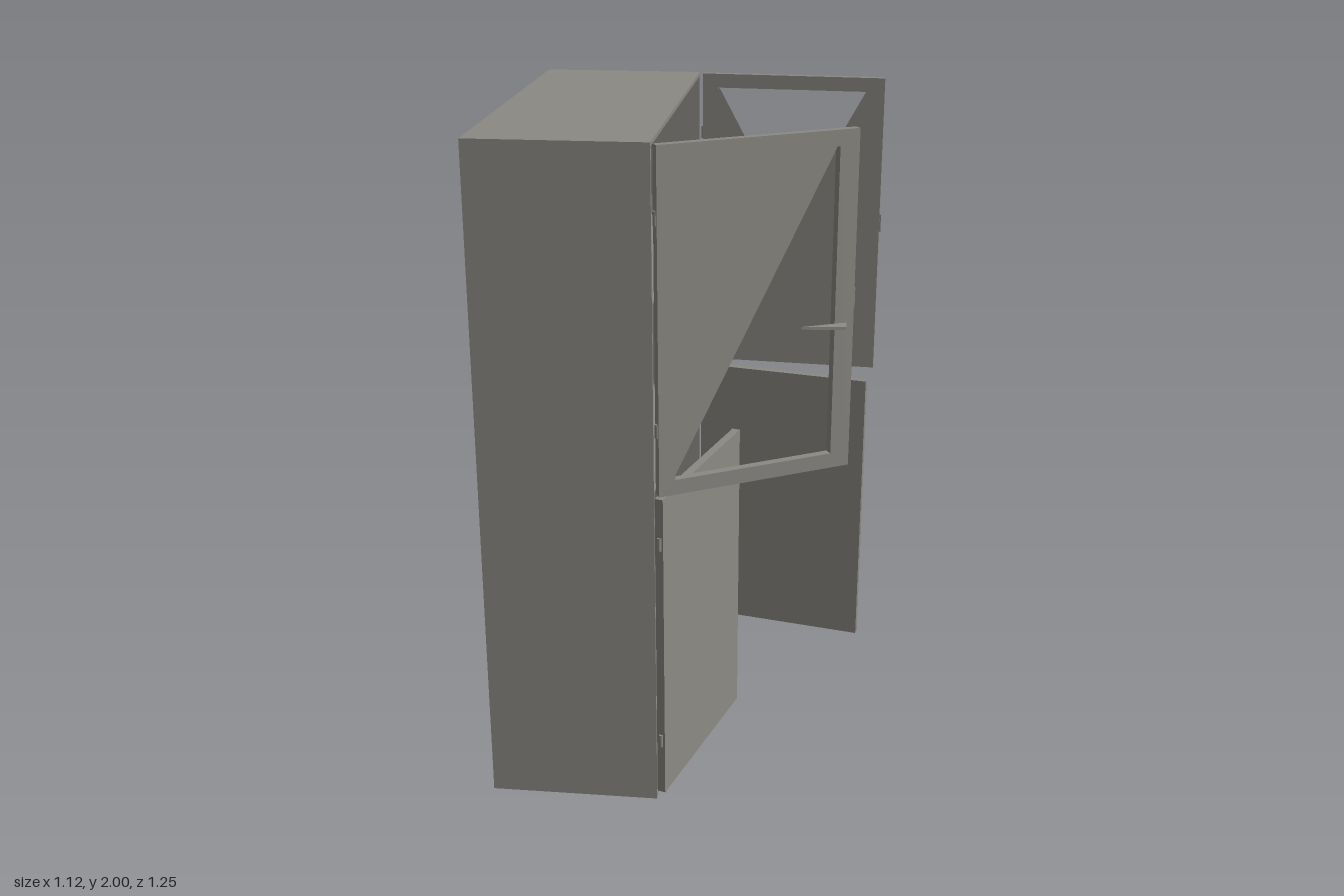
import * as THREE from 'three';

const grey = new THREE.MeshStandardMaterial({ color: 0x8c8a84, side: THREE.DoubleSide });
grey.name = 'warm grey';

function add(parent, name, geo, x = 0, y = 0, z = 0) {
  const m = new THREE.Mesh(geo, grey);
  m.name = name;
  m.position.set(x, y, z);
  parent.add(m);
  return m;
}

// Box given by its two opposite corners
function block(parent, name, [x0, y0, z0], [x1, y1, z1]) {
  return add(parent, name, new THREE.BoxGeometry(x1 - x0, y1 - y0, z1 - z0),
    (x0 + x1) / 2, (y0 + y1) / 2, (z0 + z1) / 2);
}

const outline = pts => new THREE.Shape(pts.map(p => new THREE.Vector2(...p)));

const X0 = -0.56, X1 = -0.055, Z0 = -0.59, Z1 = 0.62, W = 0.012;
const DOOR_W = 0.6, DOOR_T = 0.025;

function buildCabinet(g) {
  // Shell, open towards +x
  block(g, 'backWall', [X0, 0, Z0], [X0 + W, 2, Z1]);
  block(g, 'top', [X0, 2 - W, Z0], [X1, 2, Z1]);
  block(g, 'floor', [X0, 0, Z0], [X1, W, Z1]);
  block(g, 'rightWall', [X0, 0, Z1 - W], [X1, 2, Z1]);
  block(g, 'leftWall', [X0, 0, Z0], [X1, 2, Z0 + W]);

  // Upper shelf and the triangular divider between the compartments
  block(g, 'shelf', [X0 + W, 1.515, Z0 + W], [X1 - 0.02, 1.523, Z1 - W]);
  const divider = outline([[X0 + W, -Z1 + W], [X1, -Z1 + W], [X1, -Z0 - W]]);
  add(g, 'divider', new THREE.ShapeGeometry(divider).rotateX(-Math.PI / 2), 0, 1.01, 0);

  // Trim frame on the back wall of the upper compartment
  const x = X0 + W, d = x + 0.012;
  block(g, 'topTrim', [x, 1.905, Z0 + W], [d, 1.985, Z1 - W]);
  block(g, 'bottomTrim', [x, 1.0, Z0 + W], [d, 1.03, Z1 - W]);
  block(g, 'sideTrim', [x, 1.03, Z0 + W], [d, 1.905, -0.515]);
  block(g, 'sideTrim', [x, 1.03, 0.55], [d, 1.905, Z1 - W]);
}

// Hinged group whose local x runs from the hinge to the free edge
function doorGroup(g, name, [hx, hz], [fx, fz]) {
  const d = new THREE.Group();
  d.name = name;
  d.position.set(hx, 0, hz);
  d.rotation.y = Math.atan2(hz - fz, fx - hx);
  g.add(d);
  return d;
}

// Thin pointed pull on the outer face
function handle(d, y, out, x0, x1, reach) {
  const s = outline([[x0, 0], [x1, 0.012], [x1 - 0.025, -reach]]);
  const h = add(d, 'handle', new THREE.ExtrudeGeometry(s, { depth: 0.008, bevelEnabled: false })
    .rotateX(Math.PI / 2), 0, y, out * (DOOR_T / 2 + 0.012));
  h.scale.z = -out;
  h.rotation.z = -0.06;
}

function hinges(d, ys) {
  for (const y of ys) add(d, 'hinge', new THREE.CylinderGeometry(0.007, 0.007, 0.04, 8), 0, y, 0);
}

function lowerDoor(g, name, hinge, free, out) {
  const d = doorGroup(g, name, hinge, free);
  block(d, 'doorPanel', [0, 0.02, -DOOR_T / 2], [DOOR_W - 0.01, 0.99, DOOR_T / 2]);
  handle(d, 0.9, out, 0.44, 0.5, 0.015);
  hinges(d, [0.2, 0.85]);
}

function upperDoor(g, name, hinge, free, out, panelPts, offsets) {
  const d = doorGroup(g, name, hinge, free);
  // Rectangular frame
  const frame = outline([[0, 1.005], [DOOR_W, 1.005], [DOOR_W, 1.995], [0, 1.995]]);
  frame.holes.push(outline([[0.05, 1.05], [0.05, 1.95], [0.54, 1.95], [0.54, 1.05]]));
  add(d, 'doorFrame', new THREE.ExtrudeGeometry(frame, { depth: DOOR_T, bevelEnabled: false }),
    0, 0, -DOOR_T / 2);
  // Thin infill sheets
  for (const z of offsets) add(d, 'infill', new THREE.ShapeGeometry(outline(panelPts)), 0, 0, z);
  handle(d, 1.48, out, 0.43, 0.58, 0.03);
  block(d, 'latch', [DOOR_W - 0.01, 1.485, -0.008], [DOOR_W + 0.005, 1.545, 0.008]);
  hinges(d, [1.2, 1.8]);
}

export function createModel() {
  const g = new THREE.Group();
  g.name = 'cabinet';
  buildCabinet(g);

  lowerDoor(g, 'lowerRightDoor', [-0.043, 0.61], [0.125, 0.055], 1);
  lowerDoor(g, 'lowerLeftDoor', [-0.045, -0.58], [0.52, -0.458], -1);

  // One upper door is filled above its diagonal, the other below a V
  upperDoor(g, 'upperRightDoor', [-0.045, 0.618], [0.467, 0.325], 1,
    [[0.05, 1.05], [0.54, 1.95], [0.05, 1.95]], [0]);
  upperDoor(g, 'upperLeftDoor', [-0.045, -0.605], [0.55, -0.562], -1,
    [[0.05, 1.05], [0.54, 1.05], [0.54, 1.95], [0.295, 1.5], [0.05, 1.95]],
    [-DOOR_T / 2, DOOR_T / 2]);
  return g;
}
